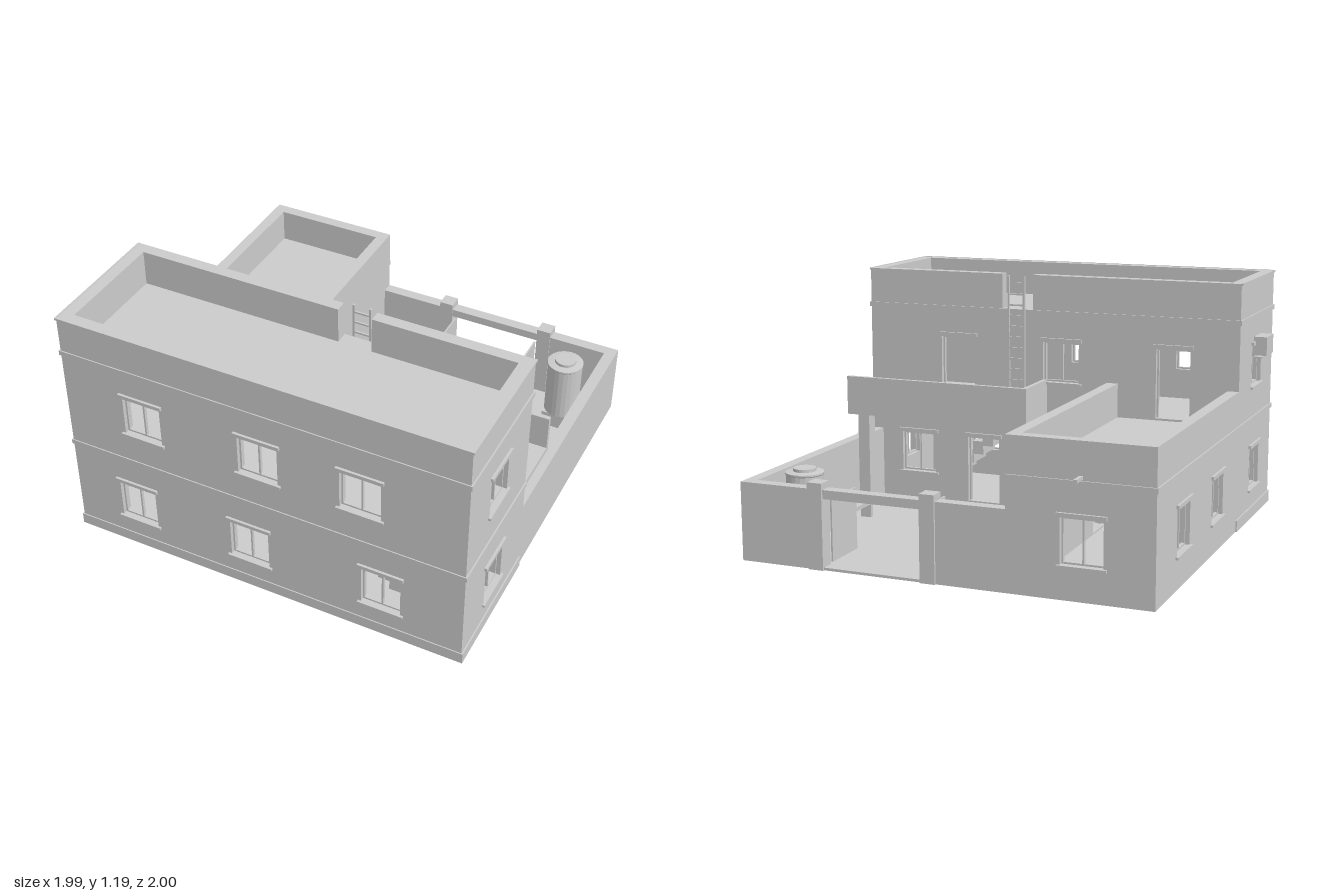
import * as THREE from 'three';

const plaster = new THREE.MeshStandardMaterial({ color: 0xcccccc });
plaster.name = 'plaster';
const T = 0.055; // wall thickness

export function createModel() {
  const root = new THREE.Group();
  root.name = 'house';

  const add = (name, geometry, parent = root) => {
    const mesh = new THREE.Mesh(geometry, plaster);
    mesh.name = name;
    parent.add(mesh);
    return mesh;
  };
  // Box given by its limits
  const box = (name, x0, x1, y0, y1, z0, z1, parent) => {
    const m = add(name, new THREE.BoxGeometry(x1 - x0, y1 - y0, z1 - z0), parent);
    m.position.set((x0 + x1) / 2, (y0 + y1) / 2, (z0 + z1) / 2);
    return m;
  };
  // Upright wall with rectangular openings [a0, a1, y0, y1]; axis is the run direction
  const wall = (name, axis, at, a0, a1, y0, y1, holes = [], thick = T) => {
    const rect = (P, l, r, b, t) => {
      const p = new P();
      p.moveTo(l, b); p.lineTo(r, b); p.lineTo(r, t); p.lineTo(l, t); p.closePath();
      return p;
    };
    const shape = rect(THREE.Shape, a0, a1, y0, y1);
    holes.forEach(h => shape.holes.push(rect(THREE.Path, ...h)));
    const m = add(name, new THREE.ExtrudeGeometry(shape, { depth: thick, bevelEnabled: false }));
    if (axis === 'x') m.position.z = at;
    else { m.rotation.y = -Math.PI / 2; m.position.x = at + thick; }
    return m;
  };
  // Box placed along a wall: run a0..a1, depth d0..d1
  const along = (name, axis, a0, a1, y0, y1, d0, d1, parent) => axis === 'x'
    ? box(name, a0, a1, y0, y1, d0, d1, parent)
    : box(name, d0, d1, y0, y1, a0, a1, parent);
  // Frame, mullion, sill and lintel; face is the outer plane, out its direction
  const dress = (axis, face, out, [a0, a1, y0, y1], door = false) => {
    const g = new THREE.Group();
    g.name = door ? 'doorTrim' : 'windowTrim';
    root.add(g);
    const depth = (p, q) => [face + out * p, face + out * q].sort((a, b) => a - b);
    const f = depth(-0.035, -0.02), s = depth(-0.01, 0.012), w = 0.008;
    along('frameSide', axis, a0, a0 + w, y0, y1, ...f, g);
    along('frameSide', axis, a1 - w, a1, y0, y1, ...f, g);
    along('frameTop', axis, a0, a1, y1 - w, y1, ...f, g);
    along('lintel', axis, a0 - 0.015, a1 + 0.015, y1 + 0.005, y1 + 0.022, ...s, g);
    if (door) return;
    const mid = (a0 + a1) / 2;
    along('frameBottom', axis, a0, a1, y0, y0 + w, ...f, g);
    along('mullion', axis, mid - w / 2, mid + w / 2, y0, y1, ...f, g);
    along('sill', axis, a0 - 0.015, a1 + 0.015, y0 - 0.012, y0, ...s, g);
  };

  const low = [0.16, 0.36], high = [0.67, 0.865];
  const groundDoor = [0.03, 0.36], upperDoor = [0.53, 0.865];
  const X0 = -0.935, X1 = 0.98, WX = -0.285, ZB = -0.93, ZM = 0.34, ZF = 0.985;

  // Floors, with the narrow joint beside the wing
  box('frontFloor', X0, X1, 0.01, 0.022, ZM - 0.01, ZF);
  box('wingFloor', X0, WX, 0.01, 0.022, ZB, ZM);
  box('yardFloor', WX + 0.01, X1, 0.01, 0.022, ZB, ZM);
  box('drainCover', 0.83, 0.88, 0, 0.01, 0.76, 0.93);

  // Two-storey front block
  const front = [[-0.705, -0.52, ...low], [-0.135, 0.055, ...low], [0.505, 0.69, ...low],
    [-0.64, -0.455, ...high], [-0.075, 0.115, ...high], [0.405, 0.595, ...high]];
  wall('frontWall', 'x', ZF - T, X0, X1, 0.01, 1.19, front);
  front.forEach(h => dress('x', ZF, 1, h));

  const side = [[0.575, 0.76, ...low], [0.575, 0.76, ...high]];
  [[X1 - T, X1, 1], [X0, X0, -1]].forEach(([at, face, out]) => {
    wall('sideWall', 'z', at, ZM + T, ZF - T, 0.01, 1.19, side);
    side.forEach(h => dress('z', face, out, h));
  });

  const rearWindows = [[0.63, 0.815, ...low], [-0.14, 0.05, ...low], [-0.14, 0.045, ...high]];
  const rearDoors = [[0.28, 0.45, ...groundDoor], [0.41, 0.59, ...upperDoor], [-0.7, -0.53, ...upperDoor]];
  wall('rearWall', 'x', ZM, X0, X1, 0.01, 1.02,
    [...rearWindows, ...rearDoors, [-0.72, -0.51, ...groundDoor]]);
  rearWindows.forEach(h => dress('x', ZM, -1, h));
  rearDoors.forEach(h => dress('x', ZM, -1, h, true));
  box('rearParapet', X0, 0.1, 1.02, 1.19, ZM, ZM + T);
  box('rearParapet', 0.26, X1, 1.02, 1.19, ZM, ZM + T);
  box('upperFloor', X0 + T, X1 - T, 0.49, 0.52, ZM + T, ZF - T);
  box('mainRoof', X0 + T, X1 - T, 0.99, 1.02, ZM + T, ZF - T);

  // Horizontal mouldings and plinth
  const e = 0.007;
  for (const [y0, y1] of [[0.01, 0.065], [0.497, 0.52], [0.997, 1.02], [1.182, 1.192]]) {
    box('frontBand', X0 - e, X1 + e, y0, y1, ZF, ZF + 0.005);
    box('sideBand', X0 - e, X0, y0, y1, ZM, ZF);
    box('sideBand', X1, X1 + e, y0, y1, ZM, ZF);
  }
  box('rearBand', X0 - e, X1 + e, 0.997, 1.02, ZM - e, ZM);
  box('wingSideBand', X0 - e, X0, 0.497, 0.52, ZB - e, ZM);
  box('wingRearBand', X0, WX, 0.497, 0.52, ZB - e, ZB);

  // Single-storey wing
  const wingSide = [[-0.64, -0.45, ...low], [-0.1, 0.09, ...low]];
  const wingRear = [-0.715, -0.525, ...low], wingDoor = [0, 0.18, ...groundDoor];
  wall('wingOuterWall', 'z', X0, ZB + T, ZM, 0.01, 0.685, wingSide);
  wingSide.forEach(h => dress('z', X0, -1, h));
  wall('wingRearWall', 'x', ZB, X0, WX, 0.01, 0.685, [wingRear]);
  dress('x', ZB, -1, wingRear);
  wall('wingYardWall', 'z', WX - T, ZB + T, ZM, 0.01, 0.685, [wingDoor]);
  dress('z', WX, 1, wingDoor, true);
  box('wingRoof', X0 + T, WX - T, 0.49, 0.52, ZB + T, ZM);
  box('roofSpout', -0.623, -0.607, 0.525, 0.54, -1, ZB + 0.03);

  // Yard walls, gate pillars and open gate leaves
  box('yardSideWall', X1 - T, X1, 0.01, 0.37, ZB, ZM);
  box('yardRearWall', WX, 0.04, 0.01, 0.37, ZB, ZB + T);
  box('yardRearWall', 0.635, X1 - T, 0.01, 0.37, ZB, ZB + T);
  box('gateBeam', 0.1, 0.575, 0.33, 0.37, ZB, ZB + T);
  for (const x of [0.07, 0.605]) box('gatePillar', x - 0.035, x + 0.035, 0.01, 0.4, -0.94, -0.87);
  for (const x of [0.12, 0.56]) box('gateLeaf', x - 0.004, x + 0.004, 0.035, 0.32, -0.875, -0.65);

  // Porch with posts and an open-ended parapet
  box('porchSlab', 0.03, X1, 0.49, 0.515, 0.07, ZM);
  box('porchParapet', 0.025, X1, 0.49, 0.68, 0.065, 0.087);
  box('porchParapet', 0.025, 0.047, 0.49, 0.68, 0.087, ZM);
  for (const x of [0.06, 0.895]) box('porchPost', x - 0.03, x + 0.03, 0.02, 0.49, 0.07, 0.13);

  // Box with lid on the porch roof, and the yard bench
  box('roofBox', 0.735, 0.87, 0.515, 0.62, 0.16, 0.24);
  box('roofBoxLid', 0.725, 0.88, 0.62, 0.632, 0.15, 0.25);
  box('benchSeat', 0.765, 0.83, 0.09, 0.11, -0.32, -0.07);
  for (const z of [-0.3, -0.11]) box('benchLeg', 0.77, 0.825, 0.02, 0.09, z, z + 0.02);

  // Water tank on its stand
  box('tankStand', 0.71, 0.86, 0.02, 0.1, -0.78, -0.63);
  const profile = [[0, 0.1], [0.085, 0.1], [0.085, 0.372], [0.088, 0.376], [0.088, 0.384],
    [0.052, 0.388], [0.052, 0.402], [0, 0.402]].map(p => new THREE.Vector2(...p));
  const lathe = new THREE.LatheGeometry(profile, 24).toNonIndexed();
  lathe.computeVertexNormals();
  add('waterTank', lathe).position.set(0.785, 0, -0.705);

  // Ladder to the main roof
  const ladder = new THREE.Group();
  ladder.name = 'ladder';
  root.add(ladder);
  for (const x of [0.14, 0.22]) box('ladderRail', x - 0.005, x + 0.005, 0.515, 1.185, 0.318, 0.33, ladder);
  for (let i = 0; i < 12; i++) {
    const y = 0.56 + i * 0.053;
    box('ladderRung', 0.14, 0.22, y, y + 0.008, 0.32, 0.328, ladder);
  }

  // Slim railing in the yard
  for (let i = 0; i < 9; i++) {
    const z = -0.165 + i * 0.052;
    box('railingBar', -0.169, -0.163, 0.02, 0.16, z - 0.003, z + 0.003);
  }
  box('railingTop', -0.169, -0.163, 0.155, 0.162, -0.17, 0.26);

  // Air conditioner on its shelf
  box('airConditioner', -1, -0.937, 0.82, 0.91, 0.6, 0.73);
  box('airConditionerShelf', -0.98, X0, 0.808, 0.814, 0.6, 0.73);

  // Indoor stairs
  for (let i = 0; i < 10; i++) {
    const x = 0.8 - i * 0.055, y = 0.07 + i * 0.047;
    box('stairStep', x - 0.06, x, Math.max(0.02, y - 0.07), y, 0.69, 0.85);
  }
  return root;
}
